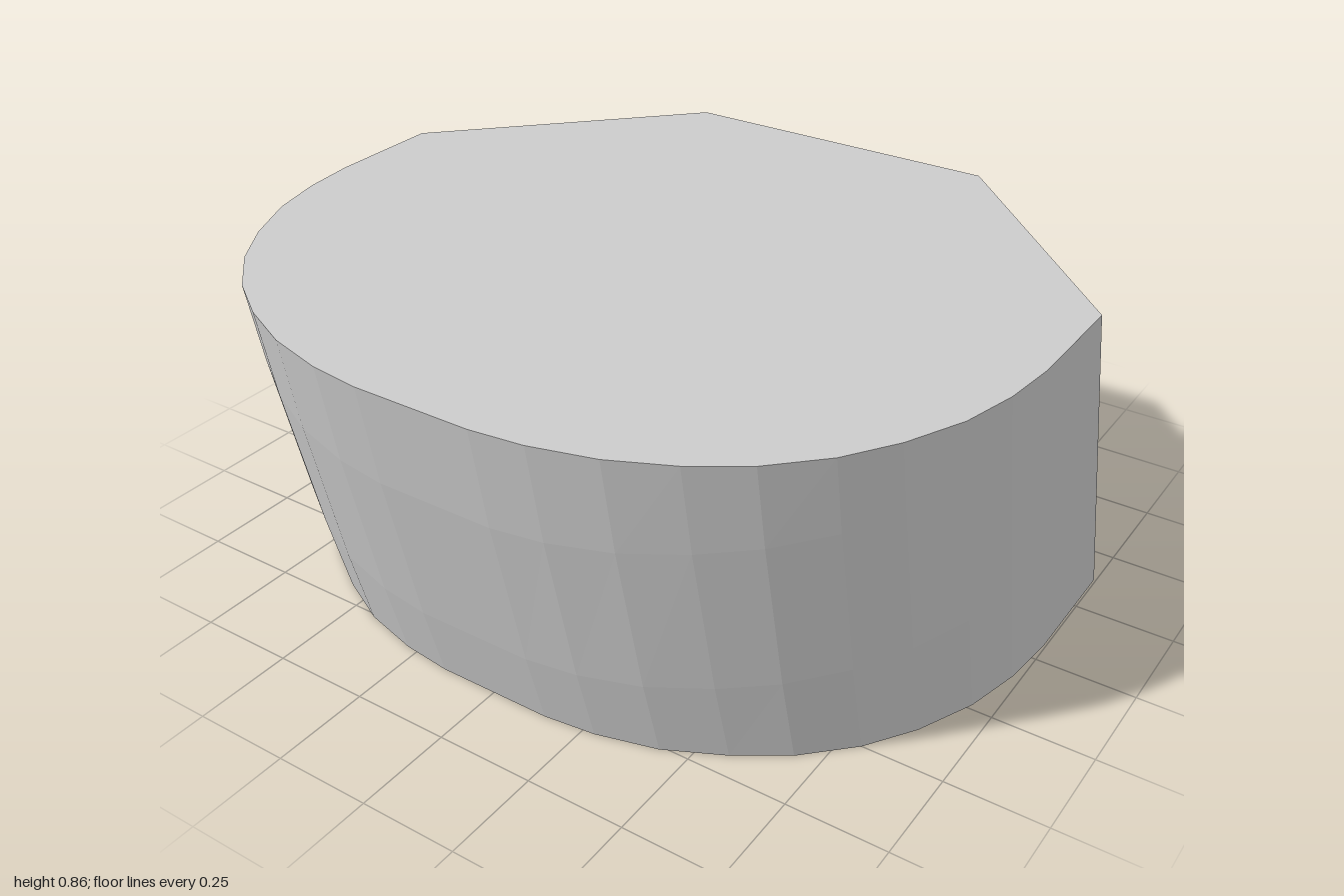
import * as THREE from 'three';

// Half of the top outline, front to back: x, z, and how far the base is set back
const HALF = [
  [0.15, 1.0, 0.185], [0.28, 0.985, 0.185], [0.43, 0.945, 0.185], [0.57, 0.88, 0.19],
  [0.69, 0.80, 0.19], [0.80, 0.69, 0.19], [0.88, 0.57, 0.19], [0.945, 0.43, 0.195],
  [0.98, 0.29, 0.20], [0.995, 0.15, 0.21], [0.995, -0.15, 0.23], [0.427, -0.73, 0.27],
];
const HEIGHT = 0.86;
const ROWS = 3;

// Outline point at a given level; the round front bows slightly outwards
function point([x, z, setback], row) {
  const rise = row > 0 && row < ROWS ? 0.1 * x * x : 0;
  const y = [0, 0.2, 0.6, HEIGHT][row] + rise;
  const t = y / HEIGHT;
  const bow = 0.056 * t * (1 - t) * Math.max(0, z);
  return [x, y, z - setback * (1 - t) + bow];
}

function bodyGeometry() {
  const outline = [...HALF, ...HALF.map(([x, z, s]) => [-x, z, s]).reverse()];
  const n = outline.length;
  const positions = [];
  const indices = [];
  for (let row = 0; row <= ROWS; row++) {
    for (const p of outline) positions.push(...point(p, row));
  }
  // Slanted wall
  for (let row = 0; row < ROWS; row++) {
    for (let i = 0; i < n; i++) {
      const a = row * n + i;
      const b = row * n + ((i + 1) % n);
      indices.push(a, b, b + n, a, b + n, a + n);
    }
  }
  // Flat top and base
  const top = ROWS * n;
  for (let i = 1; i < n - 1; i++) {
    indices.push(top, top + i, top + i + 1);
    indices.push(0, i + 1, i);
  }
  const indexed = new THREE.BufferGeometry();
  indexed.setAttribute('position', new THREE.Float32BufferAttribute(positions, 3));
  indexed.setIndex(indices);
  const geometry = indexed.toNonIndexed();
  geometry.computeVertexNormals();
  return geometry;
}

export function createModel() {
  const group = new THREE.Group();
  group.name = 'slantedBlock';
  const material = new THREE.MeshStandardMaterial({ color: 0xcccccc, flatShading: true });
  const body = new THREE.Mesh(bodyGeometry(), material);
  body.name = 'body';
  group.add(body);
  return group;
}
